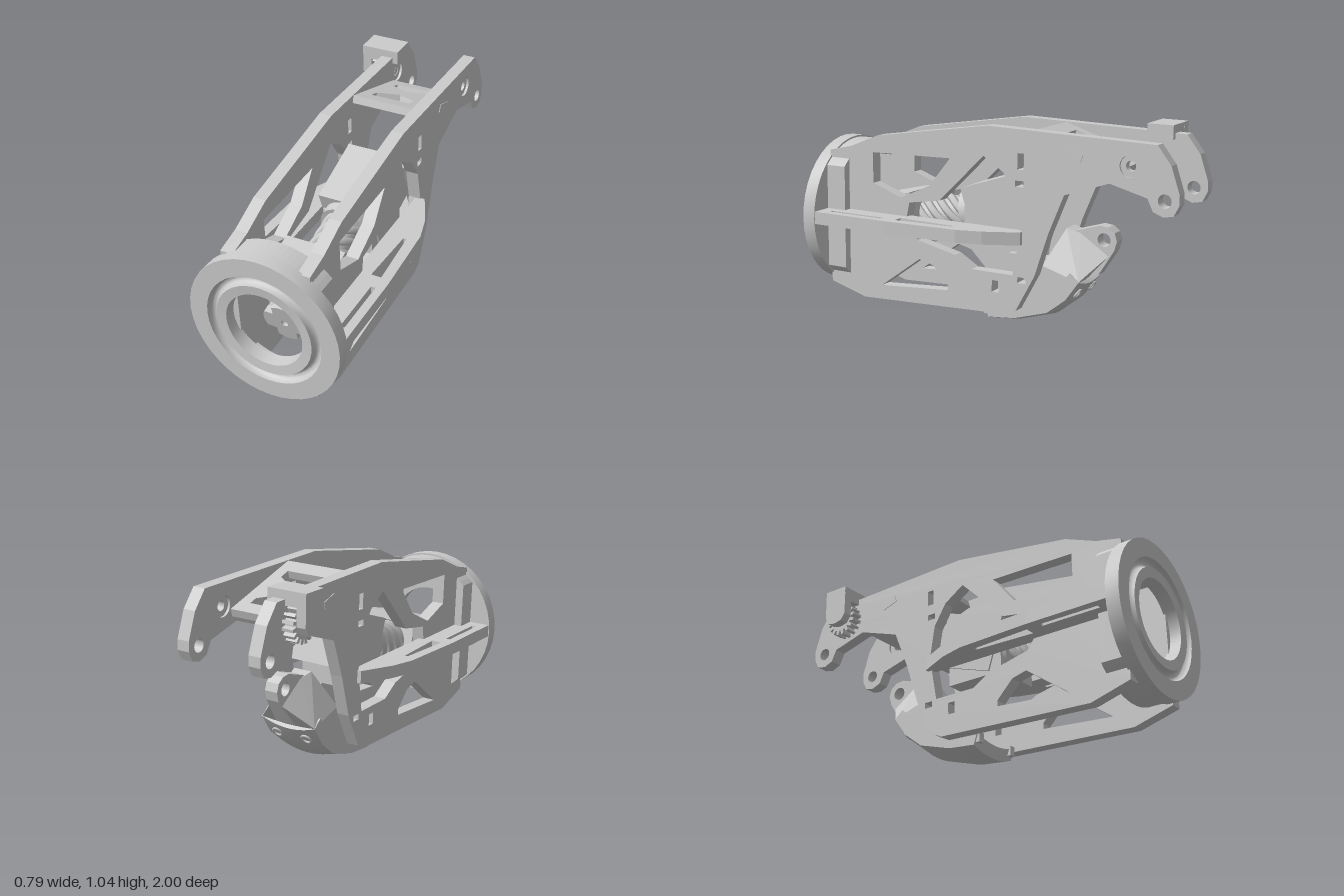
import * as THREE from 'three';
import { toCreasedNormals } from 'three/addons/utils/BufferGeometryUtils.js';
import { ConvexGeometry } from 'three/addons/geometries/ConvexGeometry.js';

const mat = new THREE.MeshStandardMaterial({ color: 0xcccccc, side: THREE.DoubleSide });

function add(parent, name, geo, x = 0, y = 0, z = 0) {
  const m = new THREE.Mesh(geo, mat);
  m.name = name;
  m.position.set(x, y, z);
  parent.add(m);
  return m;
}
const box = (w, h, d) => new THREE.BoxGeometry(w, h, d);
const vecs = (pts) => pts.map(([a, b]) => new THREE.Vector2(a, b));
// Outlines seen from the side are given as [z, y]
const side = (pts) => vecs(pts.map(([z, y]) => [-z, y]));
const circle = (u, v, r) => new THREE.Path().absarc(u, v, r, 0, Math.PI * 2);
const rect = (z, y, w, h) =>
  side([[z - w / 2, y - h / 2], [z + w / 2, y - h / 2], [z + w / 2, y + h / 2], [z - w / 2, y + h / 2]]);

function extrude(outline, holes, depth, steps = 1) {
  const s = new THREE.Shape(outline);
  s.holes = holes.map((h) => (Array.isArray(h) ? new THREE.Path(h) : h));
  return new THREE.ExtrudeGeometry(s, { depth, steps, bevelEnabled: false, curveSegments: 20 });
}
// Extrude a side outline along x, centred on x = 0
const extrudeX = (outline, holes, w, steps) =>
  extrude(outline, holes, w, steps).rotateY(Math.PI / 2).translate(-w / 2, 0, 0);
// Extrude an [x, z] outline downwards
const extrudeDown = (outline, holes, h) => extrude(outline, holes, h).rotateX(Math.PI / 2);

// Front ring with a rounded groove
function ringGeometry() {
  const pts = [[0.195, 0.93], [0.393, 0.93], [0.393, 1], [0.3, 1]];
  for (let i = 1; i < 10; i++) {
    const a = (i / 10) * Math.PI;
    pts.push([0.275 + 0.025 * Math.cos(a), 1 - 0.035 * Math.sin(a)]);
  }
  pts.push([0.25, 1], [0.2, 0.995], [0.195, 0.93]);
  return toCreasedNormals(new THREE.LatheGeometry(vecs(pts), 40).rotateX(Math.PI / 2), 0.6);
}

// Circle with its left and right sides cut flat
function clippedCircle(r, halfWidth) {
  const a = Math.acos(halfWidth / r);
  return new THREE.Path().absarc(0, 0, r, a, Math.PI - a)
    .absarc(0, 0, r, Math.PI + a, Math.PI * 2 - a).getPoints(10);
}

function sidePlateGeometry() {
  const outline = side([
    [0.94, 0.83], [0.81, 0.86], [0.64, 0.93], [0, 1.03], [-0.88, 1.01], [-0.95, 0.92], [-0.995, 0.79],
    [-0.995, 0.74], [-0.97, 0.69], [-0.92, 0.68], [-0.87, 0.7], [-0.84, 0.76], [-0.65, 0.81],
    [-0.42, 0.73], [-0.34, 0.53], [-0.27, 0.31], [-0.17, 0.12], [-0.12, 0.095], [0.73, 0.06], [0.94, 0.12]]);
  const holes = [
    side([[0.67, 0.84], [0.21, 0.85], [0.33, 0.7], [0.5, 0.62], [0.67, 0.68]]),
    side([[0.47, 0.5], [0.45, 0.6], [0.27, 0.63], [0.02, 0.88], [-0.09, 0.81], [-0.16, 0.7],
      [-0.19, 0.53], [-0.15, 0.3], [0.08, 0.3], [0.18, 0.36], [0.4, 0.41]]),
    side([[0.62, 0.14], [0.39, 0.31], [0.31, 0.29], [0.22, 0.2], [0.22, 0.17]]),
    rect(-0.185, 0.87, 0.035, 0.08), rect(-0.18, 0.76, 0.045, 0.03),
    rect(-0.055, 0.23, 0.04, 0.06), rect(-0.2, 0.28, 0.045, 0.03),
    circle(0.75, 0.9, 0.052), circle(0.925, 0.755, 0.033)];
  return extrudeX(outline, holes, 0.065);
}

function gearGeometry(r0, r1, teeth, w) {
  const pts = [];
  for (let i = 0; i < teeth; i++)
    [[0, r0], [0.3, r0], [0.42, r1], [0.82, r1]].forEach(([t, r]) => {
      const a = ((i + t) / teeth) * Math.PI * 2;
      pts.push([r * Math.cos(a), r * Math.sin(a)]);
    });
  return extrudeX(vecs(pts), [circle(0, 0, 0.02)], w);
}

// Four-armed cross with rounded arm ends
function crossGeometry(r, depth) {
  const s = new THREE.Path();
  for (let k = 0; k < 4; k++) {
    const a = (k * Math.PI) / 2;
    s.absarc(0, 0, r, a - 0.48, a + 0.48);
    s.lineTo(0.075 * Math.cos(a + Math.PI / 4), 0.075 * Math.sin(a + Math.PI / 4));
  }
  return extrude(s.getPoints(6), [circle(0, 0, 0.018)], depth);
}

// Motor, lead screw and nut, built along z and then tilted
function addDrive(parent) {
  const g = new THREE.Group();
  g.name = 'drive';
  g.position.set(0, 0.5, 0.35);
  g.rotation.x = 0.24;
  parent.add(g);
  add(g, 'motor', box(0.29, 0.29, 0.35), 0, 0.01, -0.375).rotation.x = 0.08;
  add(g, 'motorCollar', new THREE.CylinderGeometry(0.13, 0.13, 0.06, 32).rotateX(Math.PI / 2), 0, 0, -0.17);
  add(g, 'screwCore', new THREE.CylinderGeometry(0.085, 0.085, 0.6, 24).rotateX(Math.PI / 2), 0, 0, 0.15);
  for (let k = 0; k < 6; k++) {
    const pts = [];
    for (let i = 0; i <= 30; i++) {
      const a = (k / 6 + (i / 30) * 1.3) * Math.PI * 2;
      pts.push(new THREE.Vector3(0.09 * Math.cos(a), 0.09 * Math.sin(a), -0.15 + 0.6 * (i / 30)));
    }
    add(g, 'screwThread', new THREE.TubeGeometry(new THREE.CatmullRomCurve3(pts), 60, 0.021, 6));
  }
  const block = vecs([[-0.16, -0.13], [0.16, -0.13], [0.16, 0.16], [-0.16, 0.16]]);
  add(g, 'nutBlock', extrude(block, [circle(0, 0, 0.115)], 0.26), 0, 0, 0.11);
  add(g, 'screwEndCross', crossGeometry(0.112, 0.04), 0, 0, 0.445);
}

// Curved rear foot with a tapered body and one central ear
function addFoot(parent) {
  const foot = new THREE.Group();
  foot.name = 'foot';
  foot.position.x = -0.01;
  parent.add(foot);
  const skin = extrudeX(side([[0.05, 0.07], [0.03, 0.01], [-0.12, 0.025], [-0.3, 0.08], [-0.4, 0.16],
    [-0.47, 0.26], [-0.42, 0.3], [-0.36, 0.23], [-0.27, 0.16], [-0.1, 0.1]]), [], 0.31, 10);
  const p = skin.attributes.position;
  for (let i = 0; i < p.count; i++) p.setY(i, p.getY(i) - 0.008 + 0.03 * (p.getX(i) / 0.155) ** 2);
  skin.computeVertexNormals();
  add(foot, 'footSkin', toCreasedNormals(skin, 0.5));
  const hull = [];
  [[0.154, 0.11, -0.15], [0.154, 0.12, -0.3], [0.154, 0.282, -0.468], [0.154, 0.34, -0.27],
    [0.05, 0.52, -0.35], [0.035, 0.4, -0.57], [0.035, 0.5, -0.42]].forEach(([x, y, z]) =>
    hull.push(new THREE.Vector3(x, y, z), new THREE.Vector3(-x, y, z)));
  add(foot, 'footBody', new ConvexGeometry(hull));
  add(foot, 'footEar', extrudeX(side([[-0.33, 0.49], [-0.52, 0.55], [-0.565, 0.545], [-0.6, 0.52],
    [-0.613, 0.48], [-0.6, 0.43], [-0.52, 0.3], [-0.42, 0.25]]), [circle(0.545, 0.48, 0.034)], 0.07));
  for (const s of [-1, 1]) {
    add(foot, 'footLug', box(0.035, 0.05, 0.06), s * 0.13, 0.07, 0.03);
    add(foot, 'footHoleRim', new THREE.TorusGeometry(0.025, 0.006, 6, 20), s * 0.085, 0.205, -0.436).rotation.x = -0.61;
  }
}

export function createModel() {
  const model = new THREE.Group();
  model.name = 'mechanicalLimb';
  // Everything leans slightly about the ring axis
  const lean = new THREE.Group();
  lean.name = 'leaningAssembly';
  lean.position.y = 0.48;
  lean.rotation.z = 0.03;
  model.add(lean);
  const g = new THREE.Group();
  g.name = 'assembly';
  g.position.y = -0.48;
  lean.add(g);

  add(g, 'frontRing', ringGeometry(), 0, 0.48, 0);
  add(g, 'hub', extrude(clippedCircle(0.383, 0.272), [clippedCircle(0.32, 0.2)], 0.12), 0, 0.48, 0.82);

  const plate = sidePlateGeometry();
  const bearing = extrudeX(circle(0, 0, 0.052).getPoints(24), [circle(0, 0, 0.025)], 0.04);
  for (const s of [-1, 1]) {
    const mx = (pts) => vecs(pts.map(([x, z]) => [x * s, z]));
    add(g, 'sidePlate', plate, s * 0.197, -0.006, 0);
    add(g, 'bearing', bearing, s * 0.197, 0.894, -0.75);
    // Slotted horizontal rib
    const rib = mx([[0.2, 0.95], [0.387, 0.95], [0.385, 0.5], [0.365, 0.1], [0.33, -0.03], [0.25, -0.2], [0.2, -0.2]]);
    const slots = [
      mx([[0.32, 0.55], [0.343, 0.55], [0.343, 0.86], [0.32, 0.86]]),
      mx([[0.295, 0.15], [0.312, 0.15], [0.333, 0.47], [0.28, 0.47]])];
    add(g, 'sideRib', extrudeDown(rib, slots, 0.065), 0, 0.52, 0);
    add(g, 'crossPlateTab', box(0.02, 0.04, 0.09), s * 0.223, 0.922, -0.465).rotation.x = -0.31;
  }

  // Sloping cross plate with two pointed windows
  const cross = extrudeDown(vecs([[-0.17, -0.24], [0.17, -0.24], [0.17, 0.24], [-0.17, 0.24]]), [
    vecs([[-0.105, -0.165], [0.105, -0.165], [0.105, -0.12], [0, -0.05], [-0.105, -0.12]]),
    vecs([[-0.105, 0.15], [0.105, 0.15], [0.105, 0.09], [0, 0.025], [-0.105, 0.09]])], 0.04);
  add(g, 'crossPlate', cross, 0, 0.943, -0.465).rotation.x = -0.31;

  // Gear and its bracket on the outside of one plate
  add(g, 'gear', gearGeometry(0.068, 0.092, 16, 0.06), -0.262, 0.89, -0.755);
  add(g, 'gearAxle', new THREE.CylinderGeometry(0.02, 0.02, 0.14, 16).rotateZ(Math.PI / 2), -0.25, 0.89, -0.755);
  add(g, 'bracketTop', box(0.205, 0.07, 0.135), -0.237, 1.012, -0.752);
  add(g, 'bracketArm', extrudeX(side([[-0.685, 1.047], [-0.82, 1.047], [-0.82, 0.89], [-0.8, 0.855],
    [-0.755, 0.845], [-0.71, 0.855], [-0.685, 0.89]]), [], 0.05), -0.315, 0, 0);

  add(g, 'motorMount', box(0.27, 0.2, 0.32), 0, 0.49, 0.02);
  addDrive(g);
  addFoot(g);
  return model;
}
